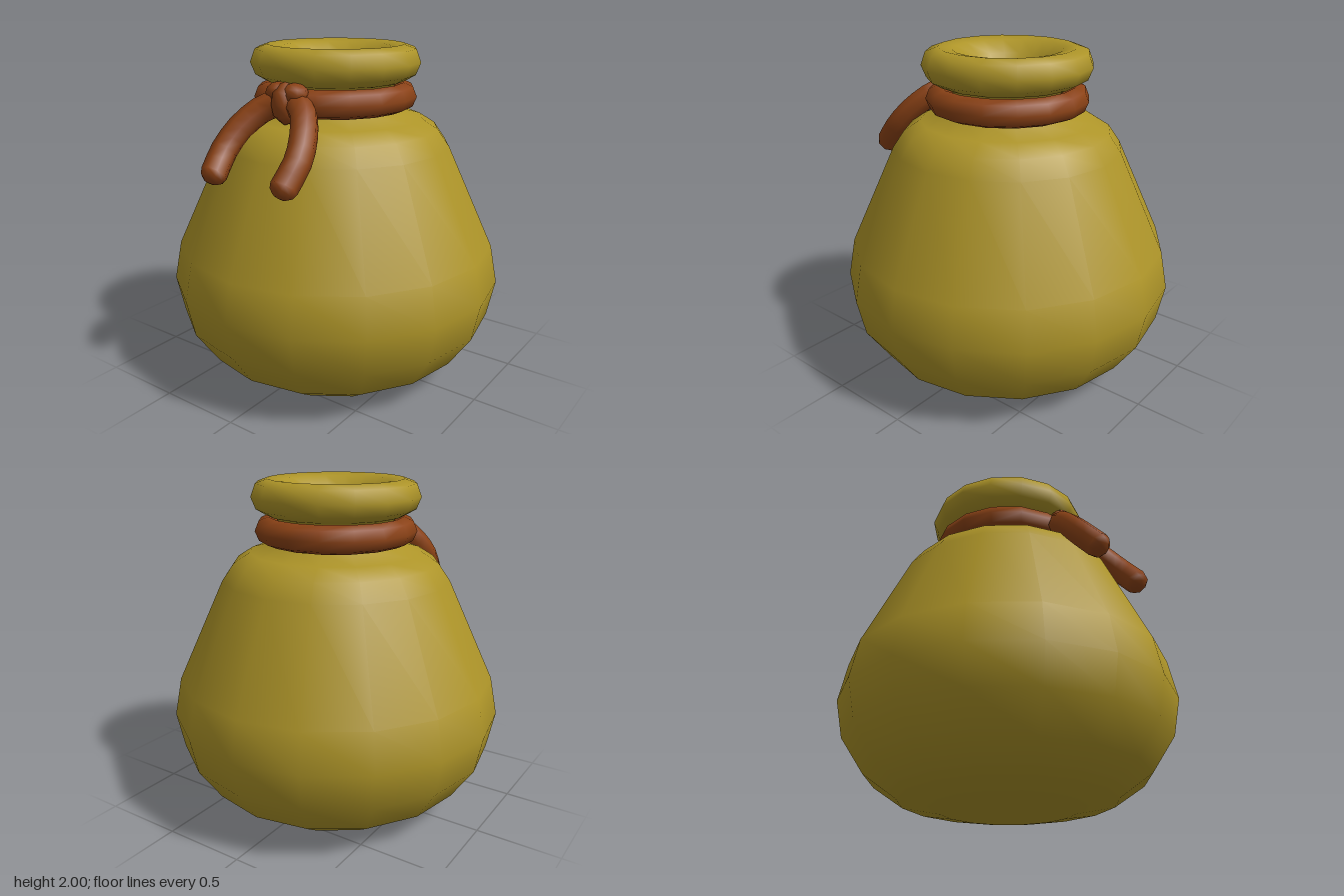
import * as THREE from 'three';

export function createModel() {
  const root = new THREE.Group();
  root.name = 'tiedSack';
  const cloth = new THREE.MeshStandardMaterial({ color: 0xad9428, side: THREE.DoubleSide });
  const cord = new THREE.MeshStandardMaterial({ color: 0x8b4216 });

  const add = (name, geometry, material, parent = root) => {
    const mesh = new THREE.Mesh(geometry, material);
    mesh.name = name;
    parent.add(mesh);
    return mesh;
  };

  // Sack: belly, gathered neck, rolled rim and the hollow inside the mouth
  const profile = [
    [0, 0.005], [0.4, 0.005], [0.63, 0.05], [0.82, 0.18], [0.955, 0.38], [1, 0.6],
    [0.955, 0.83], [0.68, 1.42], [0.61, 1.52], [0.515, 1.58], [0.36, 1.62], [0.33, 1.7],
    [0.35, 1.78], [0.41, 1.795], [0.47, 1.83], [0.498, 1.9], [0.47, 1.975], [0.4, 2],
    [0.32, 1.985], [0.23, 1.92], [0.16, 1.82], [0.09, 1.73], [0, 1.7],
  ].map(([r, y]) => new THREE.Vector2(r, y));
  add('sack', new THREE.LatheGeometry(profile, 16), cloth);

  // Cord round the neck
  const ring = add('neckCord', new THREE.TorusGeometry(0.4, 0.08, 8, 16), cord);
  ring.rotation.x = Math.PI / 2;
  ring.position.y = 1.705;

  // Knot: a band wrapped over the cord, with a bulge on each side
  const knot = new THREE.Group();
  knot.name = 'knot';
  root.add(knot);
  const band = add('knotBand', new THREE.TorusGeometry(0.062, 0.06, 8, 10), cord, knot);
  band.rotation.y = Math.PI / 2;
  band.scale.set(0.85, 1, 1.05);
  band.position.set(0, 1.71, 0.445);

  // Hanging tails, mirrored, with rounded tips
  const tailRadius = 0.075;
  for (const side of [1, -1]) {
    const bulge = add(side > 0 ? 'leftBulge' : 'rightBulge', new THREE.SphereGeometry(0.07, 8, 6), cord, knot);
    bulge.scale.set(1.15, 0.85, 1);
    bulge.position.set(side * 0.055, 1.765, 0.45);

    const path = new THREE.CatmullRomCurve3([
      [0.03, 1.715, 0.43], [0.13, 1.68, 0.48], [0.215, 1.585, 0.58],
      [0.255, 1.47, 0.68], [0.245, 1.35, 0.785],
    ].map(([x, y, z]) => new THREE.Vector3(side * x, y, z)));
    const tail = new THREE.Group();
    tail.name = side > 0 ? 'leftTail' : 'rightTail';
    root.add(tail);
    add('tailCord', new THREE.TubeGeometry(path, 8, tailRadius, 8), cord, tail);
    const tip = add('tailTip', new THREE.SphereGeometry(tailRadius, 8, 6), cord, tail);
    tip.scale.y = 0.8;
    tip.position.copy(path.getPoint(1));
    tip.quaternion.setFromUnitVectors(new THREE.Vector3(0, 1, 0), path.getTangent(1));
  }
  return root;
}
